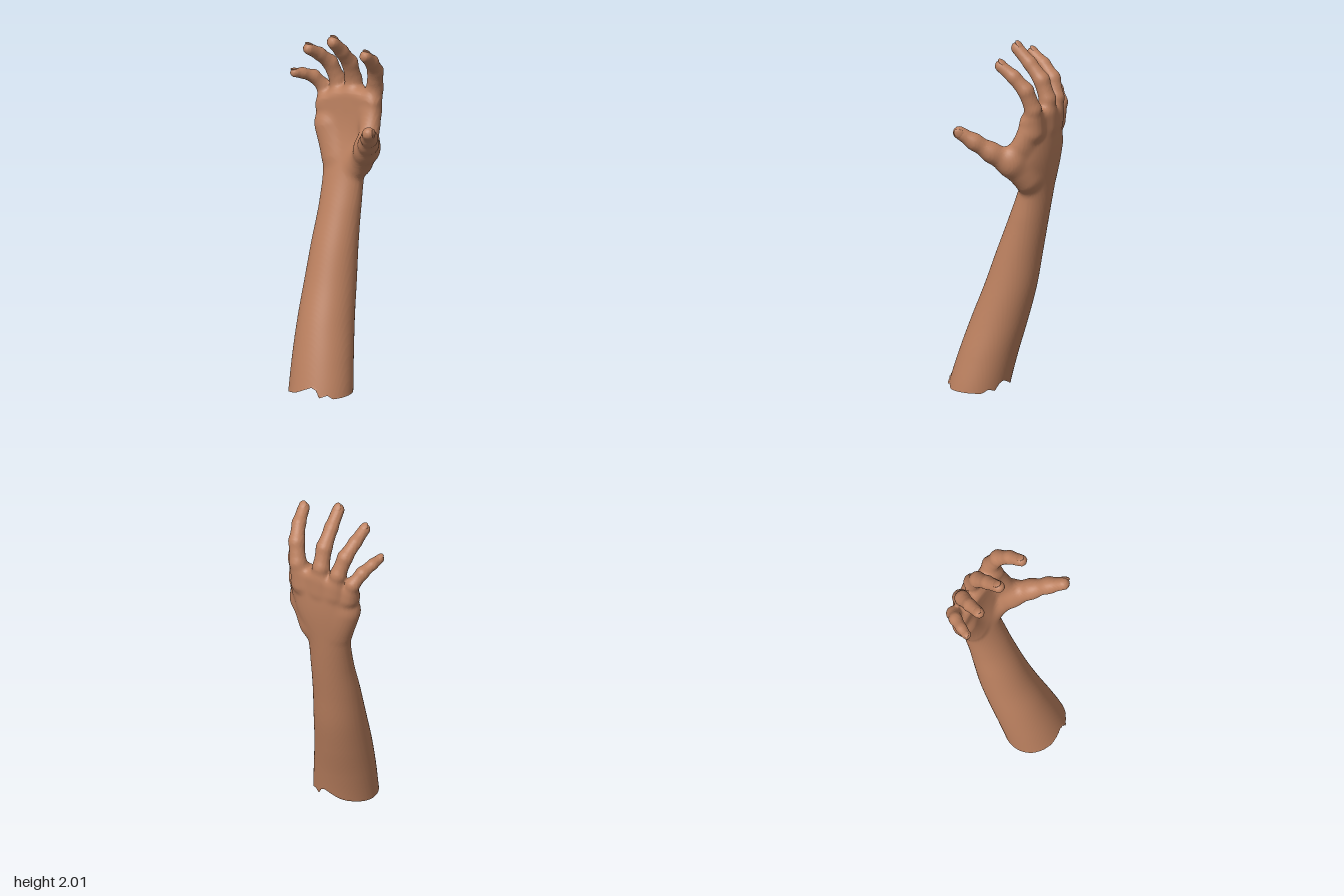
import * as THREE from 'three';

// Forearm and palm outline at every 0.2 of height, from y = -0.2: [x min, x max, z min, z max]
const sections = [
  [-0.165, 0.2, 0.0, 0.36], [-0.172, 0.195, -0.025, 0.31], [-0.18, 0.165, -0.07, 0.255],
  [-0.185, 0.13, -0.125, 0.19], [-0.185, 0.103, -0.175, 0.115], [-0.18, 0.083, -0.21, 0.045],
  [-0.173, 0.07, -0.245, -0.03], [-0.185, 0.07, -0.275, -0.1], [-0.235, 0.135, -0.295, -0.155],
  [-0.25, 0.148, -0.297, -0.175], [-0.25, 0.148, -0.297, -0.175],
];

// Finger joints, base to tip: [x, y, z, radius]
const fingers = {
  little: [[-0.205, 1.53, -0.232, 0.042], [-0.232, 1.63, -0.238, 0.038], [-0.268, 1.69, -0.195, 0.035],
    [-0.298, 1.72, -0.13, 0.029], [-0.315, 1.732, -0.08, 0.026]],
  ring: [[-0.13, 1.55, -0.248, 0.046], [-0.15, 1.68, -0.255, 0.043], [-0.175, 1.78, -0.22, 0.041],
    [-0.2, 1.845, -0.15, 0.035], [-0.217, 1.893, -0.072, 0.032]],
  middle: [[-0.04, 1.55, -0.25, 0.048], [-0.045, 1.7, -0.257, 0.045], [-0.045, 1.805, -0.22, 0.043],
    [-0.048, 1.89, -0.145, 0.037], [-0.05, 1.965, -0.065, 0.034]],
  index: [[0.085, 1.55, -0.243, 0.05], [0.105, 1.68, -0.248, 0.045], [0.13, 1.79, -0.215, 0.043],
    [0.15, 1.865, -0.15, 0.037], [0.16, 1.92, -0.075, 0.033]],
};
const thumb = [[0.06, 1.25, -0.175, 0.06], [0.135, 1.355, -0.12, 0.066], [0.205, 1.43, -0.04, 0.052],
  [0.262, 1.495, 0.035, 0.042], [0.305, 1.55, 0.105, 0.036]];
const heel = [[-0.12, 1.27, -0.185, 0.055], [-0.175, 1.42, -0.2, 0.055]];
const web = [[0.1, 1.53, -0.215, 0.045], [0.13, 1.41, -0.14, 0.05]];

// Torn lower edge: [x, height]
const rimPoints = [[-0.3, 0], [-0.17, 0], [-0.05, 0.03], [0.05, 0.075], [0.08, 0.06],
  [0.1, 0.022], [0.135, 0.036], [0.16, 0.015], [0.3, 0.02]];

const clamp = THREE.MathUtils.clamp;

function rim(x) {
  const i = clamp(rimPoints.findIndex((p) => p[0] > x), 1, rimPoints.length - 1);
  const [a, b] = [rimPoints[i - 1], rimPoints[i]];
  return THREE.MathUtils.mapLinear(x, a[0], b[0], a[1], b[1]);
}

// Smooth union of two distances
function blend(a, b, k) {
  const h = Math.max(k - Math.abs(a - b), 0) / k;
  return Math.min(a, b) - h * h * k * 0.25;
}

// Distance to a chain of tapered limbs
function chain(points, x, y, z, k) {
  let d = 9;
  for (let i = 1; i < points.length; i++) {
    const a = points[i - 1], b = points[i];
    const ux = b[0] - a[0], uy = b[1] - a[1], uz = b[2] - a[2];
    const px = x - a[0], py = y - a[1], pz = z - a[2];
    const t = clamp((px * ux + py * uy + pz * uz) / (ux * ux + uy * uy + uz * uz), 0, 1);
    const r = a[3] + (b[3] - a[3]) * t;
    d = blend(d, Math.hypot(px - ux * t, py - uy * t, pz - uz * t) - r, k);
  }
  return d;
}

// Smooth interpolation of the section outlines at a height
function sectionAt(y) {
  const s = clamp(y / 0.2 + 1, 0, sections.length - 1.001);
  const i = Math.floor(s), t = s - i;
  const at = (j) => sections[clamp(j, 0, sections.length - 1)];
  return [0, 1, 2, 3].map((c) => {
    const [p0, p1, p2, p3] = [at(i - 1)[c], at(i)[c], at(i + 1)[c], at(i + 2)[c]];
    return p1 + 0.5 * t * (p2 - p0 + t * (2 * p0 - 5 * p1 + 4 * p2 - p3 + t * (3 * (p1 - p2) + p3 - p0)));
  });
}

function distance(x, y, z, [x0, x1, z0, z1]) {
  // Forearm and cupped palm
  const rx = (x1 - x0) / 2, rz = (z1 - z0) / 2, dx = x - (x0 + x1) / 2;
  const cup = THREE.MathUtils.smoothstep(y, 1.15, 1.5);
  const dz = z - (z0 + z1) / 2 - cup * (dx * dx * 1.0 - 0.005);
  const e = 2 + 0.5 * cup;
  const q = Math.pow(Math.abs(dx / rx) ** e + Math.abs(dz / rz) ** e, 1 / e);
  let d = (q - 1) * Math.min(rx, rz);
  if (y > 1.3) d = -blend(-d, -(y - 1.665 + 1.2 * (x - 0.02) ** 2), 0.05);
  if (y < 1.0) return d;
  // Fleshy parts of the hand
  d = blend(d, chain(heel, x, y, z, 0.02), 0.05);
  d = blend(d, chain(web, x, y, z, 0.02), 0.04);
  d = blend(d, chain(thumb, x, y, z, 0.03), 0.05);
  // Fingers
  let f = 9;
  for (const points of Object.values(fingers)) f = blend(f, chain(points, x, y, z, 0.015), 0.015);
  return blend(d, f, 0.035);
}

// One continuous skin over the whole form: a vertex per crossed grid cell, a quad per crossed edge
function skinGeometry() {
  const h = 0.011, low = [-0.4, -0.06, -0.36], n = [73, 193, 70];
  const step = [1, n[0], n[0] * n[1]];
  const field = new Float32Array(n[0] * n[1] * n[2]);
  for (let j = 0; j < n[1]; j++) {
    const y = low[1] + j * h, section = sectionAt(y);
    for (let k = 0; k < n[2]; k++) {
      for (let i = 0; i < n[0]; i++) {
        field[i + j * step[1] + k * step[2]] = distance(low[0] + i * h, y, low[2] + k * h, section);
      }
    }
  }
  const positions = [], below = [], cell = new Int32Array(field.length).fill(-1), index = [];
  const eachCell = (start, visit) => {
    for (let k = start; k < n[2] - 1; k++)
      for (let j = start; j < n[1] - 1; j++)
        for (let i = start; i < n[0] - 1; i++) visit([i, j, k], i + j * step[1] + k * step[2]);
  };
  eachCell(0, (p, id) => {
    const sum = [0, 0, 0];
    let count = 0;
    for (let a = 0; a < 3; a++) {
      const b = (a + 1) % 3, c = (a + 2) % 3;
      for (let m = 0; m < 4; m++) {
        const v = m & 1, w = m >> 1, s = id + v * step[b] + w * step[c];
        const f0 = field[s], f1 = field[s + step[a]];
        if ((f0 < 0) === (f1 < 0)) continue;
        sum[a] += f0 / (f0 - f1);
        sum[b] += v;
        sum[c] += w;
        count++;
      }
    }
    if (!count) return;
    const [x, y, z] = sum.map((s, a) => low[a] + h * (p[a] + s / count));
    cell[id] = below.length;
    below.push(y < rim(x));
    positions.push(x, Math.max(y, rim(x)), z);
  });
  eachCell(1, (p, id) => {
    for (let a = 0; a < 3; a++) {
      const inside = field[id] < 0;
      if (inside === (field[id + step[a]] < 0)) continue;
      const b = step[(a + 1) % 3], c = step[(a + 2) % 3];
      const quad = [id - b - c, id - c, id, id - b].map((s) => cell[s]);
      if (quad.every((v) => below[v])) continue;
      if (!inside) quad.reverse();
      index.push(quad[0], quad[1], quad[2], quad[0], quad[2], quad[3]);
    }
  });
  const geometry = new THREE.BufferGeometry();
  geometry.setAttribute('position', new THREE.Float32BufferAttribute(positions, 3));
  geometry.setIndex(index);
  geometry.computeVertexNormals();
  return geometry;
}

// Slightly raised nail on the back of a fingertip
function makeNail(points, back, material) {
  const [b, a] = points.slice(-2);
  const tip = new THREE.Vector3(...a.slice(0, 3));
  const along = tip.clone().sub(new THREE.Vector3(...b.slice(0, 3))).normalize();
  const up = back.clone().addScaledVector(along, -back.dot(along)).normalize();
  const side = new THREE.Vector3().crossVectors(up, along);
  const nail = new THREE.Mesh(new THREE.SphereGeometry(1, 20, 12), material);
  nail.scale.set(a[3] * 0.68, a[3] * 0.3, a[3] * 0.9);
  nail.quaternion.setFromRotationMatrix(new THREE.Matrix4().makeBasis(side, up, along));
  nail.position.copy(tip).addScaledVector(up, a[3] * 0.74).addScaledVector(along, a[3] * 0.1);
  return nail;
}

export function createModel() {
  const skin = new THREE.MeshStandardMaterial({ color: 0xbb805f, side: THREE.DoubleSide });
  skin.name = 'skin';
  const group = new THREE.Group();
  group.name = 'forearmAndHand';
  const arm = new THREE.Mesh(skinGeometry(), skin);
  arm.name = 'armAndHand';
  group.add(arm);
  for (const [name, points] of Object.entries({ ...fingers, thumb })) {
    const back = name === 'thumb' ? new THREE.Vector3(1, 0, -0.6) : new THREE.Vector3(0, 1, -1);
    const nail = makeNail(points, back, skin);
    nail.name = name + 'Nail';
    group.add(nail);
  }
  return group;
}
